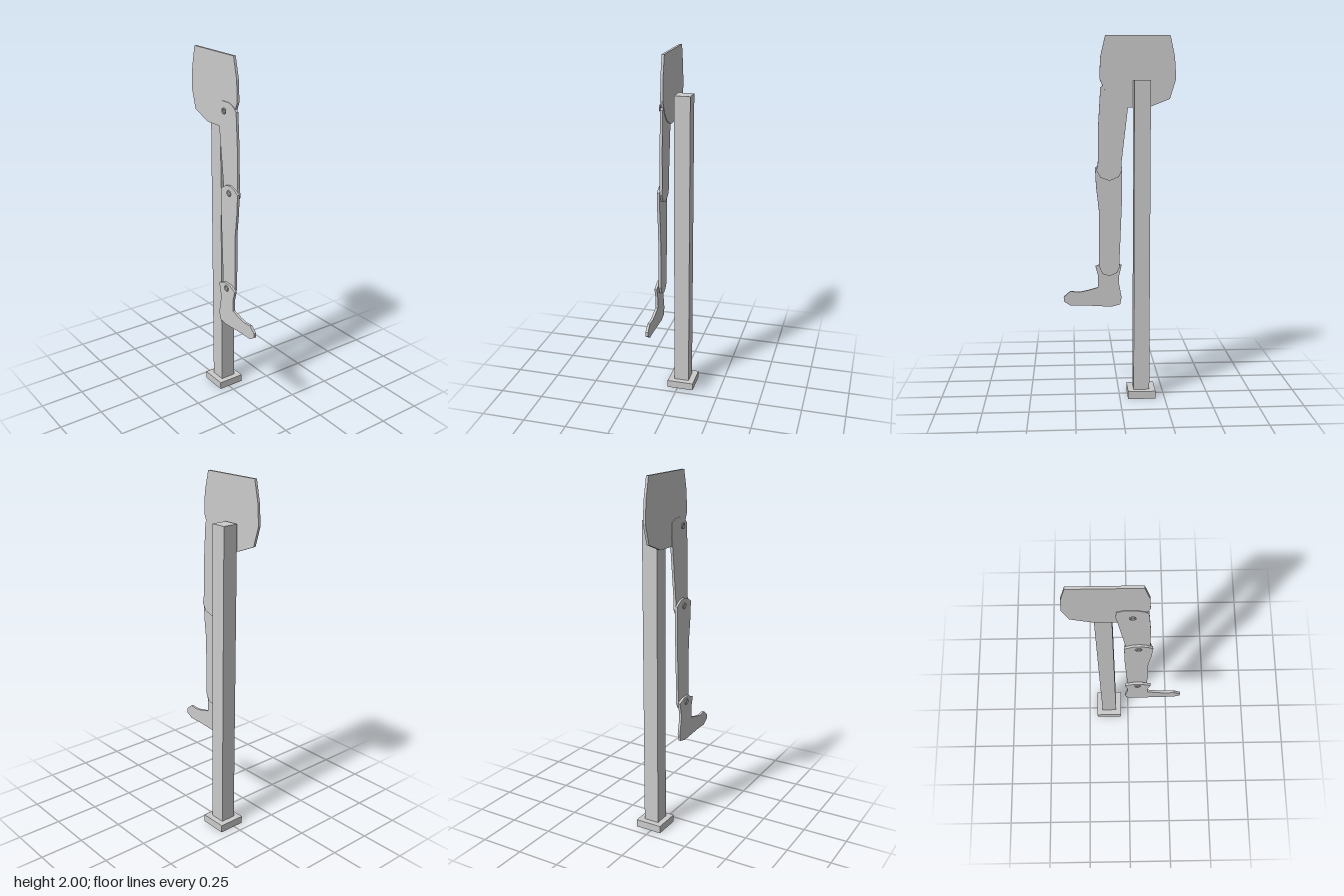
import * as THREE from 'three';

const material = new THREE.MeshStandardMaterial({ color: 0xcccccc, flatShading: true });

function add(parent, name, geometry, x = 0, y = 0, z = 0) {
  const mesh = new THREE.Mesh(geometry, material);
  mesh.name = name;
  mesh.position.set(x, y, z);
  parent.add(mesh);
  return mesh;
}

// Flat board cut from an outline, lying between two depths
function board(parent, name, outline, back, front) {
  const shape = new THREE.Shape(outline.map(([x, y]) => new THREE.Vector2(x, y)));
  const geometry = new THREE.ExtrudeGeometry(shape, { depth: front - back, bevelEnabled: false });
  return add(parent, name, geometry, 0, 0, back);
}

function square(target, half) {
  target.moveTo(-half, -half);
  target.lineTo(half, -half);
  target.lineTo(half, half);
  target.lineTo(-half, half);
  target.closePath();
  return target;
}

export function createModel() {
  const model = new THREE.Group();
  model.name = 'jointedLegOnPost';

  // Post set into a square collar that is open underneath
  const postX = -0.122, postZ = -0.017, postHalf = 0.044;
  add(model, 'post', new THREE.BoxGeometry(postHalf * 2, 1.74, postHalf * 2), postX, 0.89, postZ);
  const collar = square(new THREE.Shape(), 0.077);
  collar.holes.push(square(new THREE.Path(), postHalf));
  const base = add(model, 'base',
    new THREE.ExtrudeGeometry(collar, { depth: 0.043, bevelEnabled: false }), postX, 0, postZ);
  base.rotation.x = -Math.PI / 2;

  // Overlapping boards, each one further forward than the last
  board(model, 'hips', [
    [-0.28, 2], [-0.305, 1.885], [-0.313, 1.77], [-0.28, 1.66], [-0.165, 1.615], [-0.05, 1.615],
    [0.02, 1.645], [0.065, 1.69], [0.09, 1.735], [0.105, 1.77], [0.1, 1.885], [0.073, 2],
  ], 0.037, 0.051);
  board(model, 'thigh', [
    [-0.05, 1.61], [-0.015, 1.31], [-0.018, 1.27], [0, 1.235], [0.05, 1.213], [0.1, 1.23],
    [0.123, 1.27], [0.115, 1.31], [0.112, 1.52], [0.1, 1.72], [0.08, 1.74], [0.04, 1.757],
    [-0.02, 1.757], [-0.055, 1.74], [-0.06, 1.68],
  ], 0.04, 0.054);
  board(model, 'shin', [
    [-0.02, 1.285], [-0.02, 1.13], [-0.005, 0.76], [-0.005, 0.72], [0.01, 0.69], [0.05, 0.672],
    [0.09, 0.685], [0.11, 0.73], [0.11, 1.05], [0.125, 1.18], [0.13, 1.285], [0.1, 1.305],
    [0.06, 1.317], [0.025, 1.312],
  ], 0.052, 0.066);
  board(model, 'foot', [
    [-0.018, 0.73], [-0.003, 0.667], [-0.003, 0.625], [-0.018, 0.545], [-0.01, 0.503], [0.04, 0.49],
    [0.195, 0.5], [0.272, 0.5], [0.31, 0.525], [0.31, 0.55], [0.272, 0.582], [0.22, 0.577],
    [0.17, 0.587], [0.115, 0.603], [0.115, 0.67], [0.13, 0.725], [0.08, 0.748], [0.03, 0.748],
  ], 0.07, 0.084);

  // Ring at each joint
  const joints = [
    ['hipRing', 0.021, 1.715, 0.0745],
    ['kneeRing', 0.054, 1.275, 0.0675],
    ['ankleRing', 0.054, 0.72, 0.0855],
  ];
  const ring = new THREE.TorusGeometry(0.0135, 0.0048, 8, 16);
  for (const [name, x, y, z] of joints) add(model, name, ring, x, y, z);

  return model;
}
